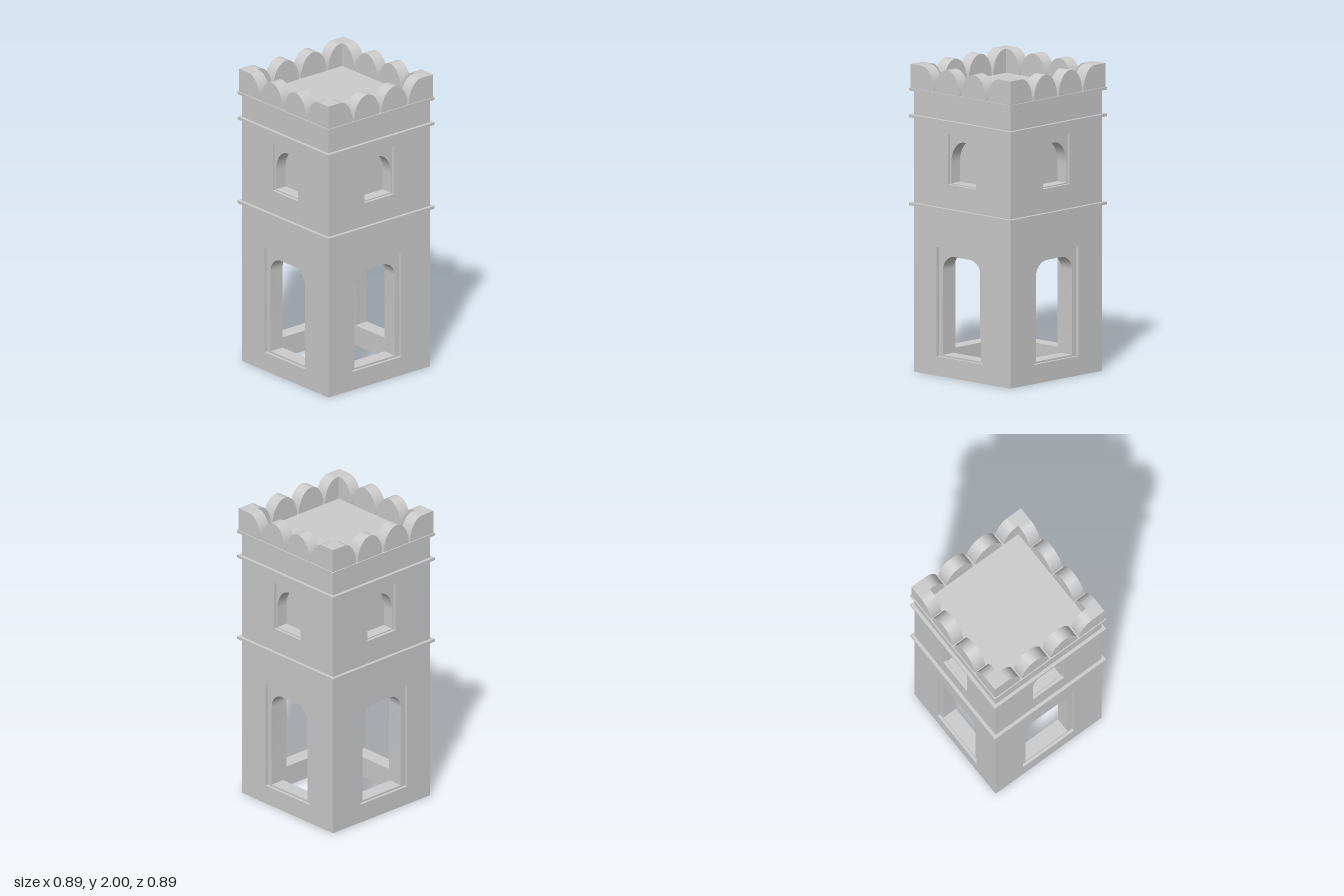
import * as THREE from 'three';
import { toCreasedNormals } from 'three/addons/utils/BufferGeometryUtils.js';

const HALF = 0.425;      // half width of the tower
const WALL = 0.12;       // wall thickness
const RECESS = 0.02;     // depth of the frames around doors and windows
const SLAB_TOP = 1.845;
const TOP = 2;
const RIM = 0.44;        // outer half width of the battlements
const RIM_IN = 0.355;    // inner half width of the battlements

const material = new THREE.MeshStandardMaterial({ color: 0xcccccc });

function add(parent, name, geometry) {
  const mesh = new THREE.Mesh(geometry, material);
  mesh.name = name;
  parent.add(mesh);
  return mesh;
}

function extrude(shape, depth) {
  const geometry = new THREE.ExtrudeGeometry(shape, { depth, bevelEnabled: false, curveSegments: 16 });
  return toCreasedNormals(geometry, 0.5);
}

function trace(path, points) {
  path.setFromPoints(points.map(([x, y]) => new THREE.Vector2(x, y)));
  return path;
}

const rect = (Type, x0, x1, y0, y1) => trace(new Type(), [[x0, y0], [x1, y0], [x1, y1], [x0, y1]]);

// Opening with elliptical upper corners (rx = half width gives a full arch)
function archHole(cx, half, y0, y1, rx, ry) {
  const p = new THREE.Path();
  p.moveTo(cx - half, y0);
  p.lineTo(cx + half, y0);
  p.lineTo(cx + half, y1 - ry);
  p.absellipse(cx + half - rx, y1 - ry, rx, ry, 0, Math.PI / 2, false);
  p.absellipse(cx - half + rx, y1 - ry, rx, ry, Math.PI / 2, Math.PI, false);
  p.lineTo(cx - half, y0);
  return p;
}

// One wall: a thin outer layer with square recesses over a layer with arched openings
function createWall(doorX) {
  const wall = new THREE.Group();
  const panel = () => rect(THREE.Shape, -HALF, HALF - WALL, 0, 1.835);

  const outer = panel();
  outer.holes.push(
    rect(THREE.Path, doorX - 0.205, doorX + 0.205, 0.125, 0.838),
    rect(THREE.Path, -0.124, 0.124, 1.255, 1.583));
  add(wall, 'wallFace', extrude(outer, RECESS)).position.z = HALF - RECESS;

  const inner = panel();
  inner.holes.push(
    archHole(doorX, 0.168, 0.137, 0.785, 0.1, 0.1),
    archHole(0, 0.115, 1.262, 1.54, 0.115, 0.15));
  add(wall, 'wallCore', extrude(inner, WALL - RECESS)).position.z = HALF - WALL;
  return wall;
}

// Rounded merlon between x0 and x1
function roundMerlon(x0, x1) {
  const s = new THREE.Shape();
  s.moveTo(x1, SLAB_TOP);
  s.absellipse((x0 + x1) / 2, SLAB_TOP, (x1 - x0) / 2, TOP - SLAB_TOP, 0, Math.PI, false);
  return s;
}

// Half merlon: flat from the corner, then falling in a quarter ellipse
function cornerMerlon(from, side) {
  const end = 0.237, flat = 0.34, rx = flat - end;
  const s = new THREE.Shape();
  s.moveTo(side * from, SLAB_TOP);
  s.lineTo(side * from, TOP);
  s.lineTo(side * flat, TOP);
  for (let i = 1; i <= 16; i++) {
    const a = (i / 16) * Math.PI / 2;
    s.lineTo(side * (flat - rx * Math.sin(a)), SLAB_TOP + (TOP - SLAB_TOP) * Math.cos(a));
  }
  return s;
}

export function createModel() {
  const tower = new THREE.Group();
  tower.name = 'tower';

  // Four walls, each overlapping the end of the next; side doors sit slightly forward
  const sides = [['front', 0], ['left', -0.02], ['back', 0], ['right', 0.02]];
  sides.forEach(([name, doorX], i) => {
    const wall = createWall(doorX);
    wall.name = name + 'Wall';
    wall.rotation.y = i * Math.PI / 2;
    tower.add(wall);

    // Battlements along this side
    const battlement = new THREE.Group();
    battlement.name = name + 'Battlement';
    battlement.rotation.y = i * Math.PI / 2;
    const cornerStart = i % 2 ? RIM_IN : RIM;
    const shapes = [
      ['cornerMerlon', cornerMerlon(cornerStart, -1)],
      ['merlon', roundMerlon(-0.223, -0.008)],
      ['merlon', roundMerlon(0.008, 0.223)],
      ['cornerMerlon', cornerMerlon(cornerStart, 1)],
    ];
    for (const [part, shape] of shapes) {
      add(battlement, part, extrude(shape, RIM - RIM_IN)).position.z = RIM_IN;
    }
    tower.add(battlement);
  });

  // Solid upper storey behind the blind windows
  add(tower, 'upperCore', new THREE.BoxGeometry(0.65, 0.74, 0.65)).position.y = 1.46;

  // String courses and the roof slab
  const bands = [['lowerBand', 1.09], ['upperBand', 1.663], ['roofSlab', 1.836]];
  for (const [name, y] of bands) {
    add(tower, name, new THREE.BoxGeometry(0.894, 0.018, 0.894)).position.y = y;
  }
  return tower;
}
